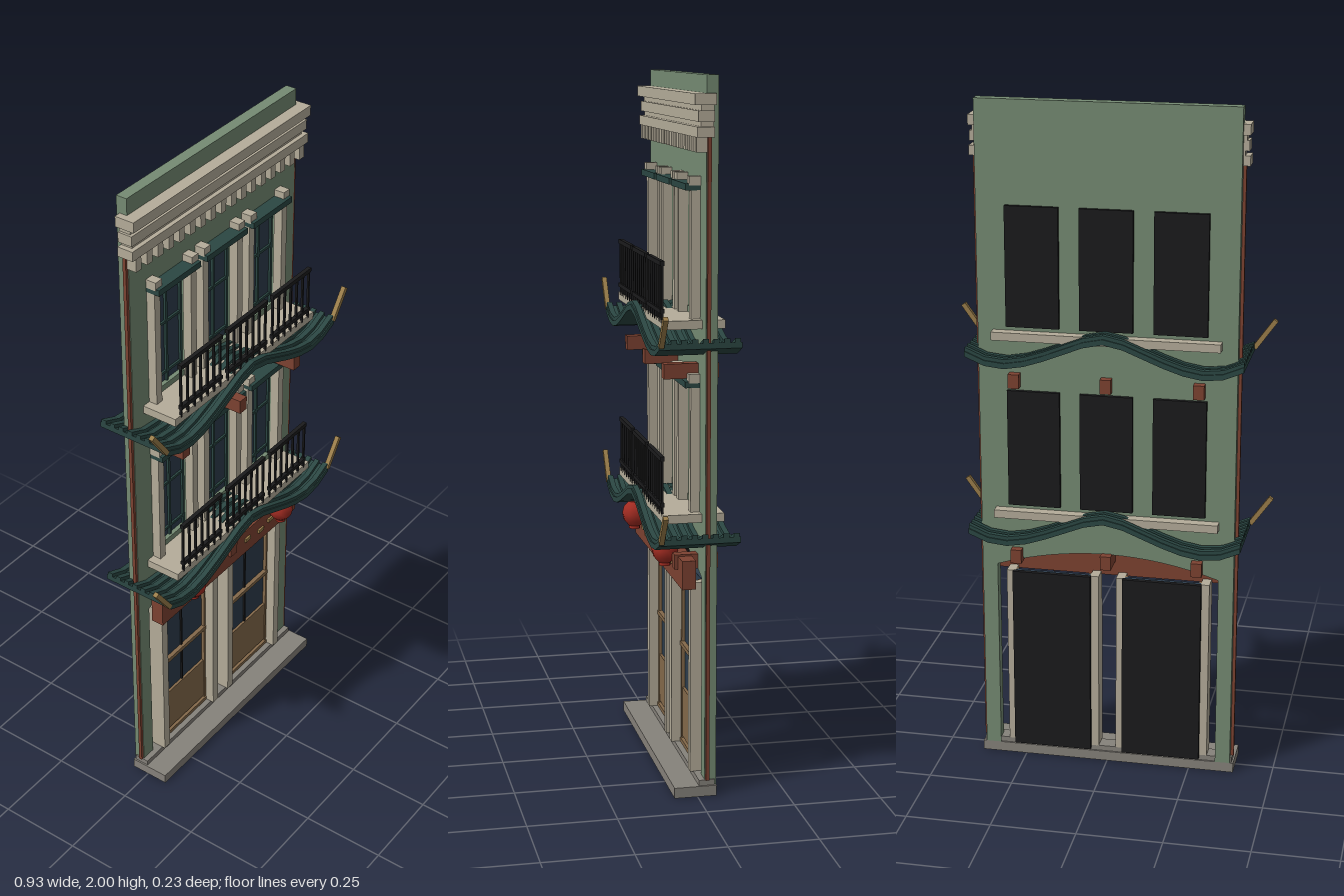
import * as THREE from 'three';

const mat = (name, color) => {
  const m = new THREE.MeshStandardMaterial({ color });
  m.name = name;
  return m;
};
const M = {
  wall: mat('sage wall', 0x758b73),
  cream: mat('cream trim', 0xb5ad9a),
  glass: mat('navy glass', 0x2d3d4c),
  black: mat('black iron', 0x1b1b1c),
  teal: mat('teal tile', 0x2b4743),
  beam: mat('red brown timber', 0x7d4231),
  red: mat('lantern red', 0xa32c22),
  tan: mat('tan wood', 0x84694a),
  gold: mat('ochre', 0x9a7d4a),
  stone: mat('grey stone', 0x86827b),
};

// Box given by its min and max on each axis
function box(parent, name, m, x0, x1, y0, y1, z0, z1) {
  const mesh = new THREE.Mesh(new THREE.BoxGeometry(x1 - x0, y1 - y0, z1 - z0), m);
  mesh.position.set((x0 + x1) / 2, (y0 + y1) / 2, (z0 + z1) / 2);
  mesh.name = name;
  parent.add(mesh);
  return mesh;
}
function group(parent, name, x = 0, y = 0, z = 0) {
  const g = new THREE.Group();
  g.name = name;
  g.position.set(x, y, z);
  parent.add(g);
  return g;
}

const WINDOW_X = [-0.213, 0, 0.213];
const FLOORS = [0.82, 1.36]; // height of each window bottom

// Wall slab with an arched shopfront and six window holes
function addWall(root) {
  const s = new THREE.Shape();
  s.moveTo(-0.375, 0.03);
  s.lineTo(-0.33, 0.03);
  s.lineTo(-0.33, 0.62);
  s.quadraticCurveTo(0, 0.73, 0.33, 0.62);
  s.lineTo(0.33, 0.03);
  s.lineTo(0.375, 0.03);
  s.lineTo(0.375, 2);
  s.lineTo(-0.375, 2);
  s.closePath();
  for (const y of FLOORS) for (const x of WINDOW_X) {
    const h = new THREE.Path();
    h.moveTo(x - 0.07, y);
    h.lineTo(x - 0.07, y + 0.34);
    h.lineTo(x + 0.07, y + 0.34);
    h.lineTo(x + 0.07, y);
    h.closePath();
    s.holes.push(h);
  }
  const geo = new THREE.ExtrudeGeometry(s, { depth: 0.033, bevelEnabled: false, curveSegments: 16 });
  const wall = new THREE.Mesh(geo, M.wall);
  wall.position.z = -0.055;
  wall.name = 'wall';
  root.add(wall);
  for (const d of [-1, 1]) {
    const x = d * 0.379;
    box(root, 'sideStrip', M.beam, x - 0.005, x + 0.005, 0.045, 1.84, -0.034, -0.024);
  }
}

function addCornice(root) {
  const g = group(root, 'cornice');
  box(g, 'corniceTop', M.cream, -0.395, 0.395, 1.922, 1.952, -0.045, 0.014);
  box(g, 'corniceMiddle', M.cream, -0.385, 0.385, 1.905, 1.922, -0.04, -0.005);
  box(g, 'corniceMiddleBand', M.cream, -0.392, 0.392, 1.878, 1.907, -0.04, 0.004);
  box(g, 'corniceLower', M.cream, -0.38, 0.38, 1.865, 1.878, -0.04, -0.005);
  box(g, 'corniceBottomBand', M.cream, -0.395, 0.395, 1.837, 1.865, -0.04, 0.008);
  for (let i = 0; i < 17; i++) {
    const x = -0.368 + i * 0.046;
    box(g, 'dentil', M.cream, x - 0.011, x + 0.011, 1.797, 1.837, -0.023, 0.006);
  }
}

function addWindow(root, x, y) {
  const g = group(root, 'window', x, y);
  box(g, 'backPanel', M.black, -0.077, 0.077, -0.005, 0.345, -0.068, -0.056);
  box(g, 'glass', M.glass, -0.07, 0.07, 0, 0.34, -0.0555, -0.035);
  box(g, 'mullion', M.teal, -0.004, 0.004, 0, 0.34, -0.035, -0.028);
  for (const h of [0.03, 0.19, 0.325])
    box(g, 'glazingBar', M.teal, -0.068, 0.068, h - 0.004, h + 0.004, -0.035, -0.029);
  for (const d of [-1, 1]) {
    const c = d * 0.079;
    box(g, 'jamb', M.cream, c - 0.012, c + 0.012, -0.02, 0.345, -0.023, 0.004);
    box(g, 'capital', M.cream, c - 0.014, c + 0.014, 0.345, 0.37, -0.023, 0.01);
    box(g, 'stile', M.teal, d * 0.064 - 0.004, d * 0.064 + 0.004, 0, 0.34, -0.035, -0.028);
  }
  box(g, 'lintel', M.teal, -0.092, 0.092, 0.332, 0.35, -0.023, 0.02);

  // Balcony railing
  const r = group(g, 'railing', 0, 0, 0.084);
  box(r, 'topRail', M.black, -0.093, 0.093, 0.13, 0.143, -0.006, 0.006);
  box(r, 'bottomRail', M.black, -0.093, 0.093, 0.0, 0.012, -0.006, 0.006);
  for (let i = 0; i < 7; i++) {
    const p = -0.089 + i * 0.0297;
    box(r, 'baluster', M.black, p - 0.003, p + 0.003, -0.025, 0.14, -0.003, 0.003);
  }
}

// Wavy strip along x, swept from a list of heights
const WAVE = [0.355, 0.343, 0.32, 0.297, 0.278, 0.268, 0.274, 0.298].map((h, i) => [i * 0.4 / 7, h - 0.36]);
function waveGeometry(low, high, z0, z1) {
  const all = [...WAVE.slice(1).reverse().map(([x, h]) => [-x, h]), ...WAVE];
  const s = new THREE.Shape();
  all.forEach(([x, h], i) => (i ? s.lineTo(x, h + high) : s.moveTo(x, h + high)));
  [...all].reverse().forEach(([x, h]) => s.lineTo(x, h + low));
  s.closePath();
  const geo = new THREE.ExtrudeGeometry(s, { depth: z1 - z0, bevelEnabled: false });
  return geo.translate(0, 0, z0);
}
function addEave(root, y) {
  const g = group(root, 'eave', 0, y);
  const strip = (name, ...a) => {
    const m = new THREE.Mesh(waveGeometry(...a), M.teal);
    m.name = name;
    g.add(m);
  };
  strip('eaveSlab', -0.024, -0.008, -0.117, 0.113);
  for (let i = 0; i < 8; i++) {
    const z = -0.105 + i * 0.0295;
    strip('tileRib', -0.01, 0.003, z - 0.008, z + 0.008);
  }
  // Upturned corner horns
  for (const d of [-1, 1]) {
    const h = box(g, 'cornerHorn', M.gold, -0.007, 0.007, -0.052, 0.052, -0.007, 0.007);
    h.position.set(d * 0.43, -0.035, 0.107);
    h.rotation.z = -d * 0.62;
  }
  box(g, 'sill', M.cream, -0.33, 0.33, -0.042, -0.018, -0.086, 0.086);
}

function addDoor(root, x) {
  const g = group(root, 'door', x);
  box(g, 'doorBack', M.black, -0.117, 0.117, 0.04, 0.605, -0.07, -0.056);
  box(g, 'doorGlass', M.glass, -0.113, 0.113, 0.045, 0.6, -0.0555, -0.035);
  box(g, 'lowerPanel', M.tan, -0.105, 0.105, 0.065, 0.215, -0.035, -0.027);
  box(g, 'doorRail', M.tan, -0.113, 0.113, 0.342, 0.355, -0.035, -0.022);
  box(g, 'doorFoot', M.tan, -0.113, 0.113, 0.045, 0.058, -0.035, -0.022);
  box(g, 'doorMullion', M.black, -0.003, 0.003, 0.215, 0.6, -0.035, -0.03);
  for (const d of [-1, 1]) {
    box(g, 'doorStile', M.tan, d * 0.11 - 0.004, d * 0.11 + 0.004, 0.045, 0.6, -0.035, -0.025);
    box(g, 'doorPost', M.cream, d * 0.126 - 0.013, d * 0.126 + 0.013, 0.045, 0.6, -0.05, 0.004);
  }
}

function addLantern(root, x) {
  const g = group(root, 'lantern', x, 0.68, 0.06);
  const body = new THREE.Mesh(new THREE.SphereGeometry(0.038, 10, 6), M.red);
  body.scale.y = 1.1;
  body.name = 'lanternBody';
  g.add(body);
  for (const d of [-1, 1]) {
    const cap = new THREE.Mesh(new THREE.CylinderGeometry(0.017, 0.017, 0.01, 8), M.red);
    cap.position.y = d * 0.041;
    cap.name = 'lanternCap';
    g.add(cap);
  }
}

export function createModel() {
  const root = new THREE.Group();
  root.name = 'townhouseFacade';
  addWall(root);
  addCornice(root);
  for (const y of FLOORS) {
    for (const x of WINDOW_X) addWindow(root, x, y);
    addEave(root, y);
    // Joist ends running through the wall
    for (const x of [-0.268, 0, 0.268])
      box(root, 'joist', M.beam, x - 0.016, x + 0.016, y - 0.185, y - 0.143, -0.08, y > 1 ? 0.075 : 0.045);
  }
  // Shopfront beam with small plaques
  box(root, 'shopBeam', M.beam, -0.34, 0.34, 0.59, 0.672, -0.004, 0.035);
  for (const d of [-1, 1]) for (const [x, y] of [[0.08, 0.64], [0.15, 0.63], [0.2, 0.64]])
    box(root, 'plaque', M.gold, d * x - 0.013, d * x + 0.013, y - 0.006, y + 0.006, 0.035, 0.041);
  for (const d of [-1, 1]) {
    addDoor(root, d * 0.165);
    addLantern(root, d * 0.222);
  }
  // Stone steps
  box(root, 'lowerStep', M.stone, -0.385, 0.385, 0, 0.03, -0.055, 0.066);
  box(root, 'upperStep', M.stone, -0.38, 0.38, 0.03, 0.046, -0.05, -0.005);
  return root;
}
